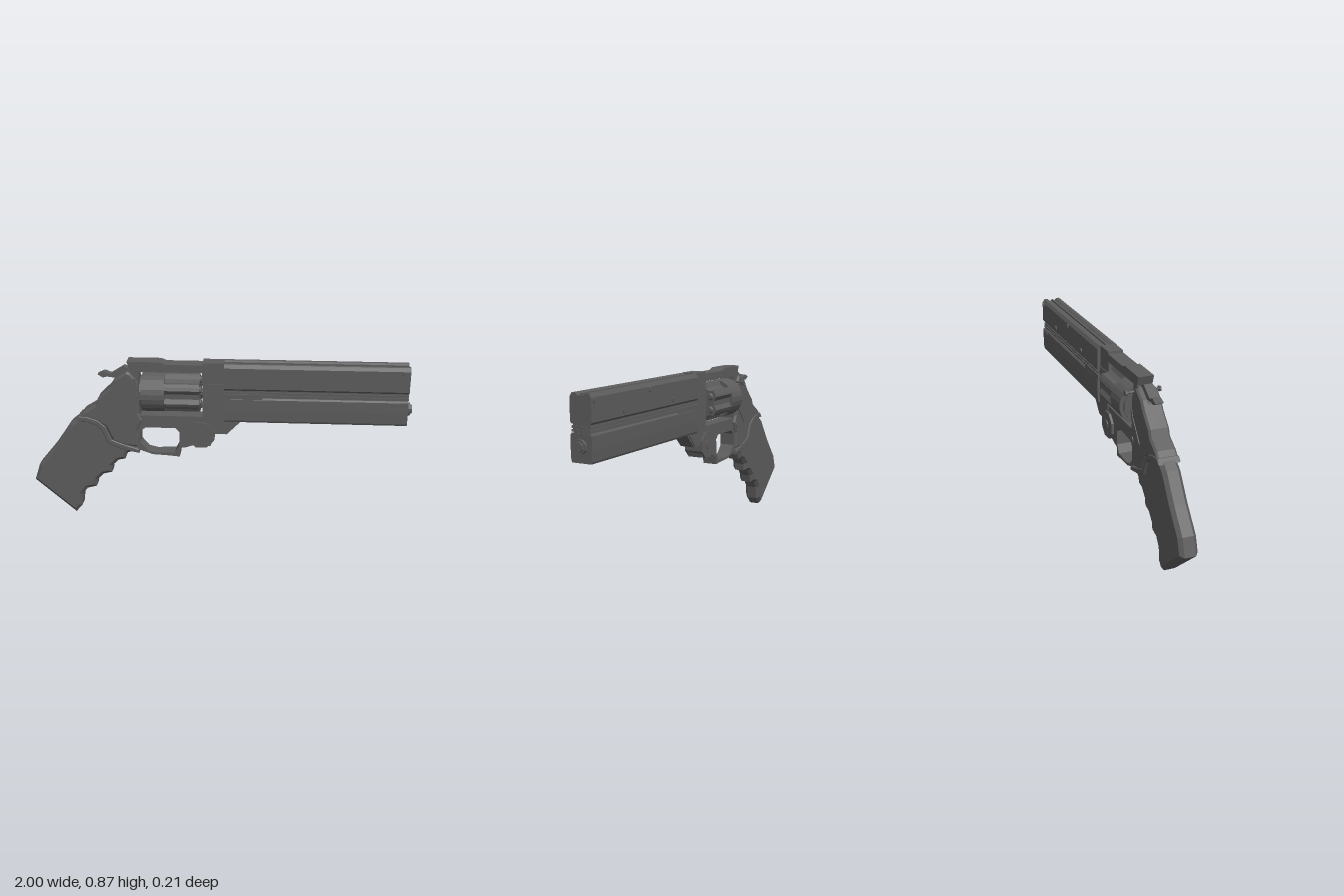
import * as THREE from 'three';

const gunmetal = new THREE.MeshStandardMaterial({ color: 0x5c5c5d, flatShading: true });
gunmetal.name = 'gunmetal';

export function createModel() {
  const model = new THREE.Group();
  model.name = 'revolver';

  const add = (name, geometry, x = 0, y = 0, z = 0) => {
    const mesh = new THREE.Mesh(geometry, gunmetal);
    mesh.name = name;
    mesh.position.set(x, y, z);
    model.add(mesh);
    return mesh;
  };
  const toShape = (pts) => new THREE.Shape(pts.map(([x, y]) => new THREE.Vector2(x, y)));
  // Side outline extruded symmetrically across z, with chamfered rims
  const plate = (name, pts, half, bevel = 0, holes = []) => {
    const shape = toShape(pts);
    holes.forEach((h) => shape.holes.push(toShape(h)));
    const geo = new THREE.ExtrudeGeometry(shape, {
      depth: 2 * (half - bevel), bevelEnabled: bevel > 0, bevelSegments: 1,
      bevelSize: bevel, bevelThickness: bevel, bevelOffset: -bevel,
    });
    geo.translate(0, 0, bevel - half);
    return add(name, geo);
  };
  // Half section (z, y) mirrored and extruded along x
  const bar = (name, half, x0, x1) => {
    const pts = [...half, ...half.map(([z, y]) => [-z, y]).reverse()];
    const geo = new THREE.ExtrudeGeometry(toShape(pts), { depth: x1 - x0, bevelEnabled: false });
    geo.rotateY(Math.PI / 2);
    return add(name, geo, x0);
  };
  const box = (name, x0, x1, y0, y1, half) =>
    add(name, new THREE.BoxGeometry(x1 - x0, y1 - y0, 2 * half), (x0 + x1) / 2, (y0 + y1) / 2);
  const rodX = (name, r, x0, x1, y, z = 0, sides = 8, r2 = r) =>
    add(name, new THREE.CylinderGeometry(r2, r, x1 - x0, sides).rotateY(Math.PI / sides).rotateZ(-Math.PI / 2), (x0 + x1) / 2, y, z);
  const rodZ = (name, r, half, x, y, sides = 8) =>
    add(name, new THREE.CylinderGeometry(r, r, 2 * half, sides).rotateY(Math.PI / sides).rotateX(Math.PI / 2), x, y);

  // Frame with the cylinder window and the trigger guard opening
  const rearEdge = [[-0.735, 0.568], [-0.71, 0.6], [-0.645, 0.64], [-0.63, 0.675], [-0.565, 0.74], [-0.535, 0.785], [-0.475, 0.825]];
  const gripSeam = [[-0.42, 0.39], [-0.5, 0.415], [-0.56, 0.44], [-0.595, 0.52], [-0.64, 0.55], [-0.69, 0.565]];
  plate('frame', [
    ...rearEdge, [-0.455, 0.83], [-0.472, 0.878], [-0.3, 0.878], [-0.27, 0.866], [-0.08, 0.866],
    [-0.08, 0.878], [0.03, 0.878], [0.03, 0.565], [0.12, 0.565], [0.045, 0.49], [-0.02, 0.49],
    [-0.04, 0.42], [-0.14, 0.42], [-0.17, 0.41], [-0.2, 0.405], [-0.205, 0.355], [-0.26, 0.36],
    [-0.35, 0.365], ...gripSeam,
  ], 0.04, 0, [
    [[-0.412, 0.585], [-0.082, 0.585], [-0.082, 0.825], [-0.412, 0.825]],
    [[-0.415, 0.43], [-0.375, 0.385], [-0.33, 0.374], [-0.23, 0.378], [-0.207, 0.42], [-0.205, 0.495], [-0.225, 0.518], [-0.385, 0.518], [-0.412, 0.495]],
  ]);
  plate('rearFrameBody', [
    ...rearEdge, [-0.455, 0.82], [-0.418, 0.77], [-0.418, 0.6], [-0.4, 0.56], [-0.425, 0.5], [-0.425, 0.41], ...gripSeam.slice(1),
  ], 0.053, 0.01);
  plate('craneBlock', [[-0.08, 0.765], [0.03, 0.765], [0.03, 0.565], [0.1, 0.56], [0.04, 0.495], [-0.08, 0.495]], 0.045);
  plate('sideLever', [[-0.42, 0.7], [-0.432, 0.7], [-0.445, 0.665], [-0.53, 0.56], [-0.515, 0.55], [-0.43, 0.655]], 0.057);
  plate('hammer', [
    [-0.63, 0.8], [-0.595, 0.815], [-0.56, 0.802], [-0.49, 0.846], [-0.455, 0.83], [-0.47, 0.77], [-0.56, 0.735], [-0.54, 0.785], [-0.58, 0.79], [-0.6, 0.784],
  ], 0.021);

  // Hinge below the barrel and frame screws
  rodZ('hingeHub', 0.075, 0.053, -0.09, 0.485);
  rodZ('hingeScrew', 0.025, 0.058, -0.09, 0.485);
  rodZ('frameScrew', 0.018, 0.058, -0.435, 0.545);
  rodZ('crossPin', 0.006, 0.088, -0.43, 0.79);
  for (const s of [-1, 1]) {
    add('crossPinHead', new THREE.CylinderGeometry(0.015, 0.015, 0.01, 8).rotateX(Math.PI / 2), -0.43, 0.79, s * 0.088);
  }

  // Grip with finger grooves, and a raised collar at its top
  plate('grip', [
    [-0.735, 0.57], [-0.785, 0.53], [-0.875, 0.4], [-0.97, 0.285], [-1, 0.195], [-0.785, 0.005], [-0.75, 0.045],
    [-0.74, 0.115], [-0.715, 0.15], [-0.665, 0.163], [-0.655, 0.205], [-0.623, 0.238], [-0.575, 0.25], [-0.57, 0.29],
    [-0.537, 0.323], [-0.5, 0.33], [-0.485, 0.367], [-0.42, 0.388], [-0.5, 0.42], [-0.56, 0.46], [-0.6, 0.54], [-0.66, 0.57],
  ], 0.046, 0.018);
  plate('gripCollar', [
    [-0.735, 0.575], [-0.755, 0.55], [-0.7, 0.548], [-0.645, 0.53], [-0.615, 0.5], [-0.585, 0.425], [-0.51, 0.395], [-0.42, 0.375],
    [-0.42, 0.397], [-0.5, 0.422], [-0.565, 0.447], [-0.595, 0.52], [-0.635, 0.555], [-0.69, 0.573],
  ], 0.056, 0.004);

  // Cylinder: round rear and fluted front
  const cy = 0.708, R = 0.104;
  rodX('cylinderRear', R, -0.395, -0.275, cy, 0, 24);
  const flutes = [];
  for (let i = 0; i < 6; i++) {
    for (const [deg, r] of [[-30, R], [-20, R], [-9, 0.084], [9, 0.084], [20, R]]) {
      const a = (i * 60 + deg) * Math.PI / 180;
      flutes.push([Math.cos(a) * r, Math.sin(a) * r]);
    }
  }
  const fluted = new THREE.ExtrudeGeometry(toShape(flutes), { depth: 0.18, bevelEnabled: false });
  add('flutedCylinder', fluted.rotateY(Math.PI / 2), -0.275, cy);
  rodX('ratchetPlate', 0.085, -0.406, -0.395, cy, 0, 12);
  rodX('cylinderAxle', 0.022, -0.42, -0.07, cy);
  for (let i = 0; i < 6; i++) {
    const a = (i * 60 + 30) * Math.PI / 180;
    rodX('chamberTip', 0.021, -0.096, -0.084, cy + Math.sin(a) * 0.07, Math.cos(a) * 0.07, 8, 0.014);
  }

  // Barrel shroud: upper slab with twin top ridges, recessed rails, lower slab
  bar('upperShroud', [[0.05, 0.738], [0.058, 0.748], [0.058, 0.858], [0.046, 0.876], [0.028, 0.876], [0.016, 0.865]], 0.03, 0.975);
  box('sightRib', 0.03, 0.97, 0.86, 0.874, 0.004);
  box('railCore', 0.03, 0.97, 0.69, 0.745, 0.045);
  box('upperRail', 0.03, 0.975, 0.72, 0.73, 0.051);
  box('lowerRail', 0.23, 0.975, 0.703, 0.713, 0.051);
  box('rearRailFiller', 0.03, 0.23, 0.69, 0.718, 0.056);
  bar('lowerShroud', [[0.051, 0.565], [0.056, 0.575], [0.058, 0.63], [0.057, 0.69], [0.05, 0.698]], 0.03, 0.975);
  box('muzzleLatch', 0.9, 0.965, 0.674, 0.686, 0.061);

  // Muzzle
  rodX('muzzle', 0.034, 0.97, 0.99, 0.64);
  rodX('muzzleTip', 0.024, 0.99, 1, 0.64);

  // Shroud screws on both sides, alternating low and high
  [[0.28, 0.772], [0.5, 0.845], [0.72, 0.772], [0.95, 0.845]].forEach(([x, y]) => rodZ('shroudScrew', 0.014, 0.064, x, y));

  return model;
}
